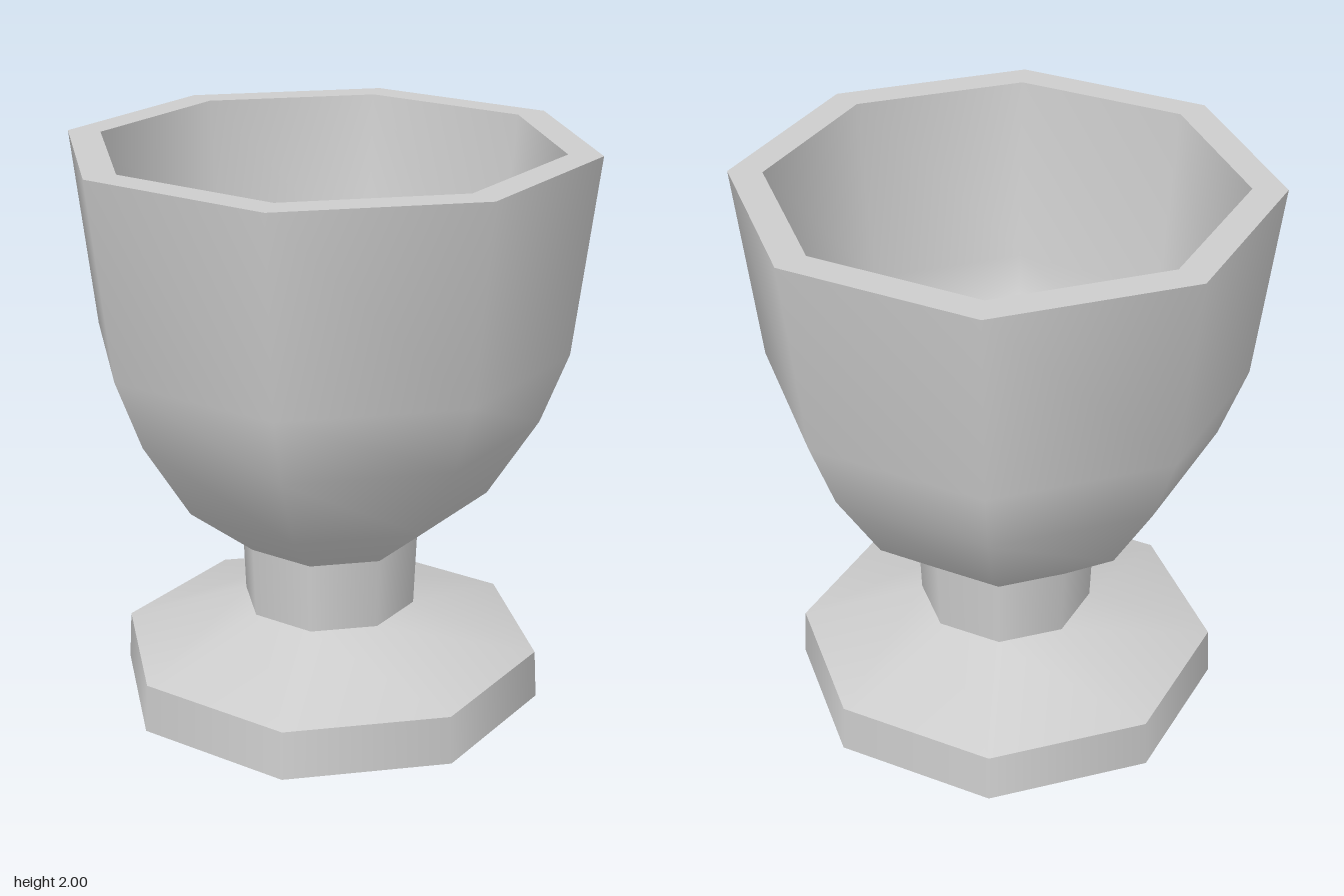
import * as THREE from 'three';

const SIDES = 8;

export function createModel() {
  const group = new THREE.Group();
  const ceramic = new THREE.MeshStandardMaterial({ color: 0xcccccc });
  ceramic.name = 'plain grey';

  // Each band is its own lathe: smooth around, with crisp edges between bands.
  // Profiles are [radius, height] pairs; the rising side faces outward.
  const band = (name, profile) => {
    const points = profile.map(([r, y]) => new THREE.Vector2(r, y));
    const mesh = new THREE.Mesh(new THREE.LatheGeometry(points, SIDES), ceramic);
    mesh.name = name;
    group.add(mesh);
  };

  // Foot
  band('footUnderside', [[0, 0], [0.765, 0]]);
  band('footSide', [[0.765, 0], [0.755, 0.175]]);
  band('footSlope', [[0.755, 0.175], [0.31, 0.33]]);

  // Stem
  band('stem', [[0.31, 0.33], [0.32, 0.585]]);

  // Cup
  band('cupOutside', [[0.32, 0.585], [0.565, 0.78], [0.74, 1.06], [0.835, 1.31], [0.917, 2]]);
  band('rim', [[0.917, 2], [0.8, 2]]);
  band('cupInside', [[0.8, 2], [0.73, 1.34], [0.64, 1.1], [0.48, 0.86], [0.25, 0.7], [0, 0.66]]);

  return group;
}
